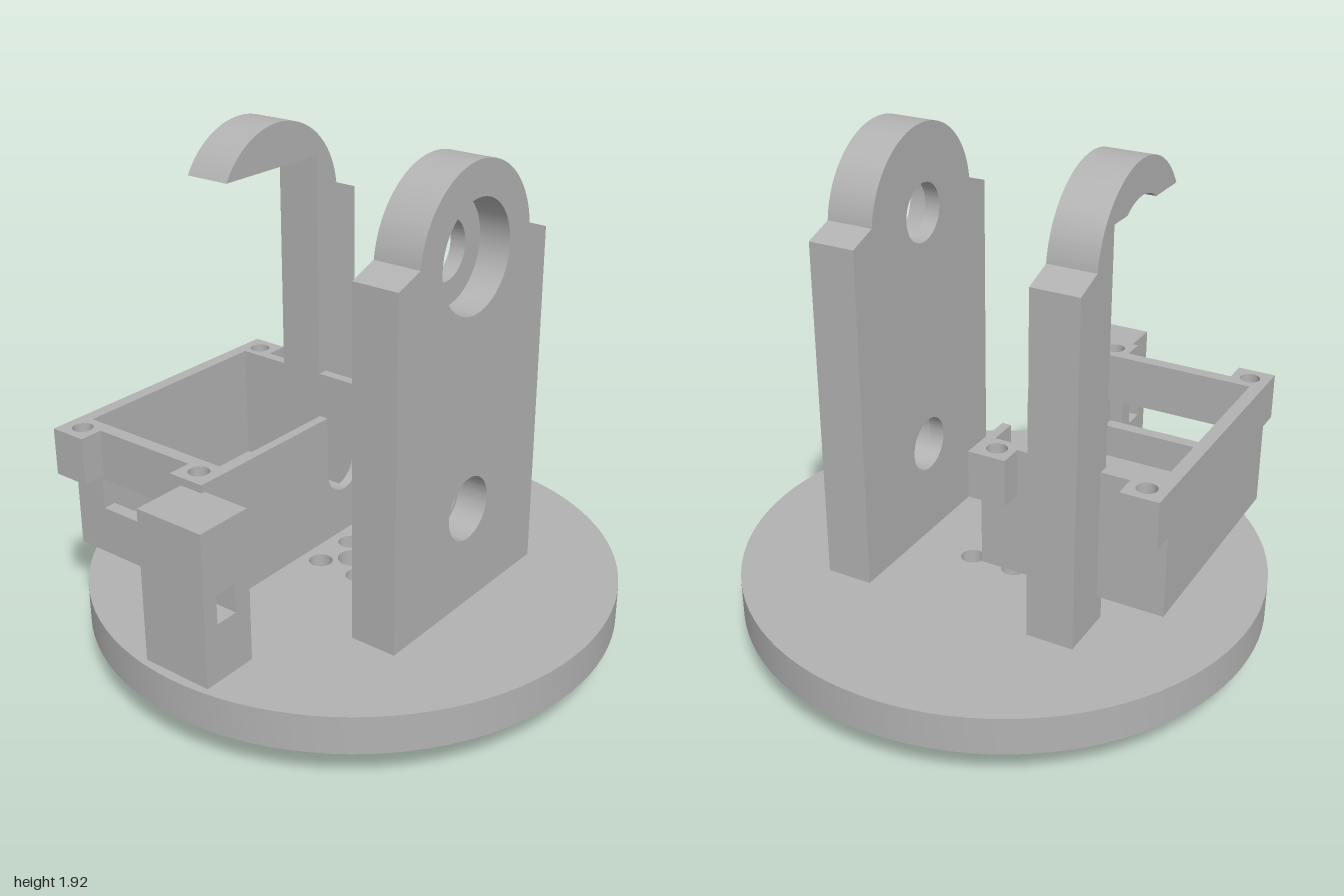
import * as THREE from 'three';
import { toCreasedNormals } from 'three/addons/utils/BufferGeometryUtils.js';

const R = 0.325, CY = 1.595;            // bearing head radius and centre height
const A0 = Math.asin(0.04 / R);         // where the head meets the shoulder

export function createModel() {
  const model = new THREE.Group();
  const grey = new THREE.MeshStandardMaterial({ color: 0xb2b2b2 });
  grey.name = 'light grey';

  const polygon = (pts) => new THREE.Shape(pts.map(([x, y]) => new THREE.Vector2(x, y)));
  const rect = (x0, y0, x1, y1) => polygon([[x0, y0], [x1, y0], [x1, y1], [x0, y1]]);
  const circle = (x, y, r) => new THREE.Shape().absarc(x, y, r, 0, Math.PI * 2, false);

  function add(name, geometry, parent = model) {
    const mesh = new THREE.Mesh(geometry, grey);
    mesh.name = name;
    parent.add(mesh);
    return mesh;
  }
  function extrude(shape, holes, depth) {
    shape.holes.push(...holes);
    const g = new THREE.ExtrudeGeometry(shape, { depth, bevelEnabled: false, curveSegments: 48 });
    return toCreasedNormals(g, 0.5);
  }
  // shape in x, y standing between z0 and z1
  const upright = (name, shape, holes, z0, z1, parent) =>
    add(name, extrude(shape, holes, z1 - z0).translate(0, 0, z0), parent);
  // shape in x, -z lying between y0 and y1
  const flat = (name, shape, holes, y0, y1, parent) =>
    add(name, extrude(shape, holes, y1 - y0).rotateX(-Math.PI / 2).translate(0, y0, 0), parent);
  function block(name, x0, x1, y0, y1, z0, z1, parent) {
    const g = new THREE.BoxGeometry(x1 - x0, y1 - y0, z1 - z0);
    return add(name, g.translate((x0 + x1) / 2, (y0 + y1) / 2, (z0 + z1) / 2), parent);
  }

  // turntable with counterbored screw holes, and hub below
  const screws = (r) => [[1, 1], [-1, 1], [1, -1], [-1, -1]].map(([i, j]) => circle(0.09 * i, 0.088 * j, r));
  flat('baseDisc', circle(0, 0, 1), [circle(0, 0, 0.06), ...screws(0.045)], 0.14, 0.285);
  flat('hubCollar', circle(0, 0, 0.302), [circle(0, 0, 0.26)], 0.132, 0.14);
  flat('hub', circle(0, 0, 0.272), [circle(0, 0, 0.06), ...screws(0.025)], 0, 0.14);

  // full front support, its bores wider on the outer face
  function supportOutline() {
    const s = new THREE.Shape();
    s.moveTo(-0.435, 0.285);
    s.lineTo(0.435, 0.285);
    s.lineTo(0.435, CY);
    s.absarc(0, CY, R, A0, Math.PI - A0, false);
    s.lineTo(-0.435, CY);
    s.closePath();
    return s;
  }
  const front = new THREE.Group();
  front.name = 'frontSupport';
  model.add(front);
  upright('frontSupportInner', supportOutline(), [circle(0, CY, 0.11), circle(0, 0.667, 0.105)], 0.33, 0.39, front);
  upright('frontSupportOuter', supportOutline(), [circle(0, CY, 0.2), circle(0, 0.667, 0.12)], 0.39, 0.51, front);

  // back support, cut away above the tray to a column and a hooked arch
  function hookOutline(notched) {
    const cut = 1.76, rise = cut - CY;
    const s = new THREE.Shape();
    s.moveTo(0.21, 0.285);
    s.lineTo(0.435, 0.285);
    s.lineTo(0.435, CY);
    s.absarc(0, CY, R, A0, Math.PI - Math.asin(rise / R), false);
    if (notched) {
      const a = Math.asin(rise / 0.2);
      s.absarc(0, CY, 0.2, Math.PI - a, a, true);
    }
    s.lineTo(0.21, cut);
    s.closePath();
    return s;
  }
  const back = new THREE.Group();
  back.name = 'backSupport';
  model.add(back);
  upright('backSupportInner', hookOutline(false), [], -0.39, -0.33, back);
  upright('backSupportOuter', hookOutline(true), [], -0.51, -0.39, back);

  // open motor tray
  const tray = new THREE.Group();
  tray.name = 'motorTray';
  model.add(tray);
  const low = 0.395, mid = 0.715, top = 0.895;
  block('trayFloor', -0.67, 0.25, low, 0.445, -0.765, -0.045, tray);
  block('trayBackWall', -0.67, 0.25, low, mid, -0.765, -0.715, tray);
  block('trayRightWall', 0.21, 0.25, low, mid, -0.715, -0.08, tray);

  // wall with a cable window
  const side = extrude(rect(0.08, low, 0.715, mid), [rect(0.12, 0.58, 0.63, 0.7)], 0.05);
  add('trayWindowWall', side.rotateY(Math.PI / 2).translate(-0.67, 0, 0), tray);

  // wall with the rounded shaft slot
  const slot = new THREE.Shape();
  slot.moveTo(-0.67, low);
  slot.lineTo(0.25, low);
  slot.lineTo(0.25, mid);
  slot.lineTo(0.095, mid);
  slot.absarc(0, 0.667, 0.095, 0, -Math.PI, true);
  slot.lineTo(-0.095, mid);
  slot.lineTo(-0.67, mid);
  slot.closePath();
  upright('traySlotWall', slot, [], -0.08, -0.045, tray);

  // rim with four drilled ears, open at the slot
  const rim = polygon([
    [0.095, 0.045], [0.34, 0.045], [0.34, 0.19], [0.25, 0.19], [0.25, 0.62], [0.34, 0.62], [0.34, 0.765],
    [-0.76, 0.765], [-0.76, 0.62], [-0.67, 0.62], [-0.67, 0.19], [-0.76, 0.19], [-0.76, 0.045], [-0.095, 0.045],
    [-0.095, 0.08], [-0.62, 0.08], [-0.62, 0.715], [0.21, 0.715], [0.21, 0.08], [0.095, 0.08],
  ]);
  const earHoles = [-0.69, 0.272].flatMap((x) => [0.122, 0.69].map((y) => circle(x, y, 0.038)));
  flat('trayRim', rim, earHoles, mid, top, tray);

  // side post with a square hole
  upright('sidePost', rect(-0.965, 0.285, -0.745, 0.865), [rect(-0.905, 0.505, -0.815, 0.615)], -0.14, 0.14);

  return model;
}
